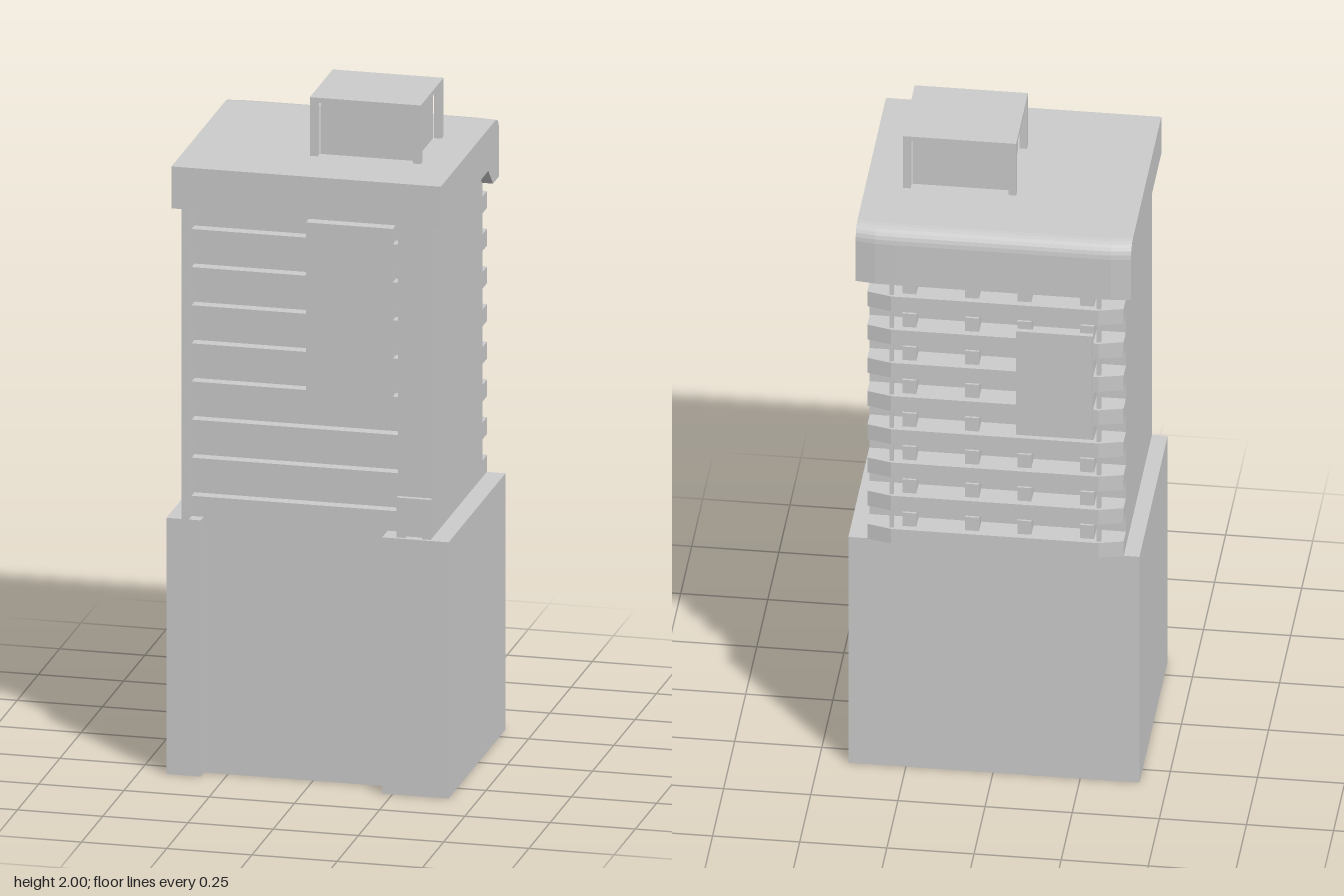
import * as THREE from 'three';

const mat = new THREE.MeshStandardMaterial({ color: 0xcccccc, flatShading: true });
const thin = new THREE.MeshStandardMaterial({ color: 0xcccccc, flatShading: true, side: THREE.DoubleSide });

export function createModel() {
  const model = new THREE.Group();
  model.name = 'tower';

  const add = (parent, name, geometry, material = mat) => {
    const mesh = new THREE.Mesh(geometry, material);
    mesh.name = name;
    parent.add(mesh);
    return mesh;
  };
  // Box given by its lower and upper limits on each axis
  const box = (parent, name, x0, x1, y0, y1, z0, z1) =>
    add(parent, name, new THREE.BoxGeometry(x1 - x0, y1 - y0, z1 - z0)
      .translate((x0 + x1) / 2, (y0 + y1) / 2, (z0 + z1) / 2));
  const group = (name) => {
    const g = new THREE.Group();
    g.name = name;
    model.add(g);
    return g;
  };

  // Base: hollow shell, open below, with a recessed front between two piers
  const base = group('base');
  const H = 0.765;
  const plan = [[-0.42, -0.32], [-0.42, 0.32], [-0.32, 0.32], [-0.32, 0.28],
    [0.22, 0.28], [0.22, 0.35], [0.415, 0.35], [0.415, -0.32]];
  const pos = [];
  plan.forEach(([x0, z0], i) => {
    const [x1, z1] = plan[(i + 1) % plan.length];
    pos.push(x0, 0, z0, x1, 0, z1, x1, H, z1, x0, 0, z0, x1, H, z1, x0, H, z0);
  });
  const walls = new THREE.BufferGeometry();
  walls.setAttribute('position', new THREE.Float32BufferAttribute(pos, 3));
  walls.computeVertexNormals();
  add(base, 'baseWalls', walls, thin);
  const deck = new THREE.Shape(plan.map(([x, z]) => new THREE.Vector2(x, -z)));
  add(base, 'baseTop', new THREE.ShapeGeometry(deck).rotateX(-Math.PI / 2).translate(0, H, 0), thin);

  // Tower body
  const body = group('body');
  box(body, 'core', -0.375, 0.36, H, 1.72, -0.27, 0.25);
  box(body, 'leftEdgeStrip', -0.375, -0.355, H, 1.72, 0.25, 0.325);
  box(body, 'cornerPier', 0.26, 0.36, H, 1.72, 0.25, 0.325);

  // Low block at the foot of the pier, with a doorway left open
  box(body, 'doorJamb', 0.26, 0.285, H, 0.884, 0.325, 0.34);
  box(body, 'doorJamb', 0.335, 0.36, H, 0.884, 0.325, 0.34);
  box(body, 'doorLintel', 0.285, 0.335, 0.835, 0.884, 0.325, 0.34);

  // Front bands with a flush panel over the upper ones
  const front = group('frontBands');
  for (let i = 0; i < 8; i++) {
    const y = H + i * 0.1138;
    box(front, 'frontBand', -0.355, 0.26, y, y + 0.06, 0.25, 0.285);
  }
  box(front, 'frontPanel', -0.02, 0.235, 1.12, 1.667, 0.25, 0.2852);

  // Back balconies: bowed slabs with short fins between them
  const back = group('backBalconies');
  const slab = new THREE.Shape([[-0.375, 0.265], [0.36, 0.265], [0.36, 0.322],
    [0.29, 0.34], [-0.305, 0.34], [-0.375, 0.322]].map(([x, y]) => new THREE.Vector2(x, y)));
  const slabGeo = new THREE.ExtrudeGeometry(slab, { depth: 0.05, bevelEnabled: false }).rotateX(-Math.PI / 2);
  for (let i = 0; i < 8; i++) {
    const y = H + i * 0.1125;
    add(back, 'balconySlab', slabGeo).position.y = y;
    for (const x of [0.24, 0.06, -0.09, -0.27]) {
      box(back, 'fin', x - 0.02, x + 0.02, y + 0.05, y + 0.095, -0.32, -0.27);
    }
  }
  for (const x of [0.29, -0.305]) box(back, 'backPost', x - 0.006, x + 0.006, H, 1.66, -0.332, -0.32);
  box(back, 'backPanel', -0.29, -0.07, 1.17, 1.52, -0.35, -0.335);

  // Roof: side profile swept across, its back edge eased at both ends
  const profile = new THREE.Shape();
  profile.moveTo(-0.35, 1.7);
  profile.lineTo(0.21, 1.7);
  profile.lineTo(0.265, 1.645);
  profile.lineTo(0.345, 1.645);
  profile.lineTo(0.345, 1.78);
  profile.quadraticCurveTo(0.343, 1.823, 0.3, 1.825);
  profile.lineTo(-0.35, 1.825);
  const roof = new THREE.ExtrudeGeometry(profile,
    { depth: 0.79, steps: 14, bevelEnabled: false, curveSegments: 6 })
    .rotateY(Math.PI / 2).translate(-0.398, 0, 0);
  const p = roof.attributes.position;
  for (let i = 0; i < p.count; i++) {
    const over = Math.max(0, Math.abs(p.getX(i) + 0.003) - 0.33);
    if (p.getZ(i) < -0.29) p.setZ(i, p.getZ(i) + over * 0.13);
  }
  roof.computeVertexNormals();
  add(model, 'roof', roof);

  // Rooftop housing: inset walls, corner posts and a thin lid
  const housing = group('rooftopHousing');
  box(housing, 'housingWalls', -0.015, 0.26, 1.82, 1.99, -0.087, 0.132);
  box(housing, 'housingLid', -0.04, 0.285, 1.985, 2, -0.112, 0.157);
  for (const x of [-0.04, 0.263]) {
    for (const z of [-0.112, 0.135]) {
      box(housing, 'housingPost', x, x + 0.022, 1.82, 1.99, z, z + 0.022);
    }
  }
  return model;
}
